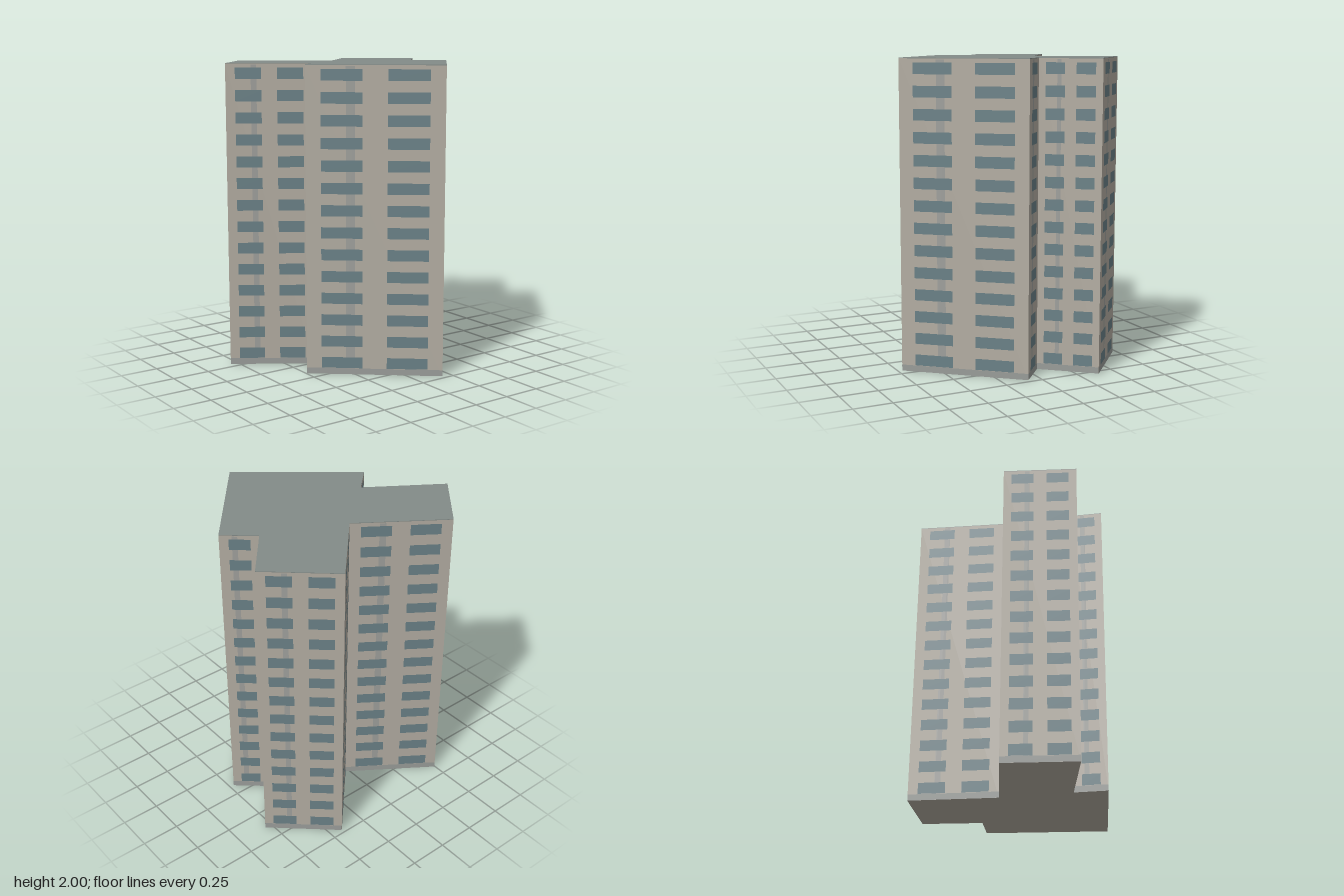
import * as THREE from 'three';
import { mergeGeometries } from 'three/addons/utils/BufferGeometryUtils.js';

// Footprint corners [x, z], running left to right along each wall seen from outside
const PLAN = [
  [-0.8, -0.305], [-0.335, 0.01], [-0.493, 0.158], [0.185, 0.72], [0.72, 0.085],
  [0.537, -0.075], [0.797, -0.383], [0.42, -0.725], [0.025, -0.3], [-0.497, -0.663],
];
const HEIGHT = 2, FLOORS = 14, STOREY = HEIGHT / FLOORS, ROOF = 0.004;

export function createModel() {
  const group = new THREE.Group();
  const add = (name, geometry, color) => {
    const mesh = new THREE.Mesh(geometry, new THREE.MeshStandardMaterial({ color }));
    mesh.name = name;
    group.add(mesh);
  };

  // Vertical prism over the footprint
  const prism = (y, depth) => {
    const shape = new THREE.Shape(PLAN.map(([x, z]) => new THREE.Vector2(x, -z)));
    return new THREE.ExtrudeGeometry(shape, { depth, bevelEnabled: false })
      .rotateX(-Math.PI / 2).translate(0, y, 0);
  };
  add('walls', prism(0, HEIGHT - ROOF), 0xb3ada2);
  add('roof', prism(HEIGHT - ROOF, ROOF), 0x838b88);

  // Thin facade panels, placed by fraction along each wall
  const windows = [], strips = [], plinths = [];
  PLAN.forEach(([x0, z0], i) => {
    const [x1, z1] = PLAN[(i + 1) % PLAN.length];
    const dx = x1 - x0, dz = z1 - z0, length = Math.hypot(dx, dz);
    const panel = (u0, u1, y0, y1, offset) => {
      const u = (u0 + u1) / 2;
      return new THREE.PlaneGeometry((u1 - u0) * length, y1 - y0)
        .translate(0, (y0 + y1) / 2, offset)
        .rotateY(Math.atan2(-dz, dx))
        .translate(x0 + dx * u, 0, z0 + dz * u);
    };
    const short = length < 0.3;
    const bays = short ? [[0.24, 0.78]] : [[0.11, 0.41], [0.59, 0.89]];
    plinths.push(panel(0, 1, 0, 0.04, 0.001));
    strips.push(short ? panel(0.32, 0.46, 0.04, 1.99, 0.001) : panel(0.29, 0.355, 0.04, 1.99, 0.001));
    for (let floor = 0; floor < FLOORS; floor++) {
      const y = floor * STOREY + 0.042;
      for (const [a, b] of bays) windows.push(panel(a, b, y, y + 0.072, 0.002));
    }
  });
  add('windows', mergeGeometries(windows), 0x6a8187);
  add('facadeStrips', mergeGeometries(strips), 0x9fa09c);
  add('plinth', mergeGeometries(plinths), 0x9a9d9a);

  return group;
}
